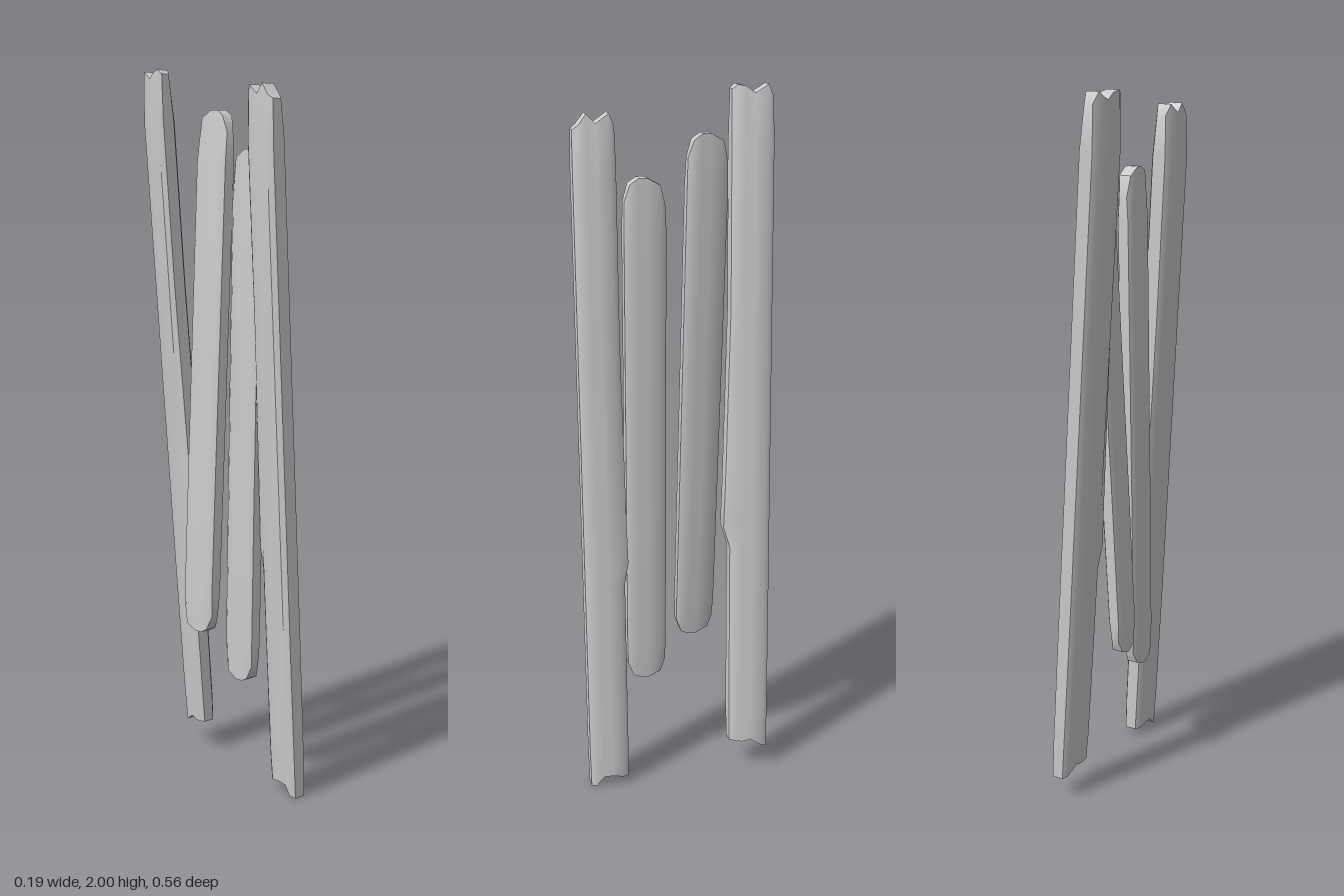
import * as THREE from 'three';
import { toCreasedNormals } from 'three/addons/utils/BufferGeometryUtils.js';

// Stations across a plank's width, and the half thickness at each
const ACROSS = [-0.5, -0.37, -0.05, 0.16, 0.37, 0.5];
const HALF = [0.3, 0.46, 0.5, 0.45, 0.48, 0.3];
const N = ACROSS.length;

const ROUND_TOP = [-0.075, -0.02, 0, 0, -0.015, -0.06];
const ROUND_BOTTOM = [0.05, 0.015, 0, 0, 0.012, 0.05];

// Leaning, worn planks. bottom / top: centre [x, y, z] of each end;
// topEdge / bottomEdge: height offsets of the end across the width.
const PLANKS = [
  {
    name: 'frontLongPlank', bottom: [0.055, 0, 0.222], top: [-0.04, 1.94, 0.215],
    width: 0.113, thick: 0.062, skew: -0.08, taper: 0.7,
    topEdge: [-0.03, 0, -0.025, 0, -0.03, -0.04], bottomEdge: [0.025, 0.025, 0.032, 0.03, 0.005, 0],
    spur: { side: -1, y: 0.7, size: 0.011 },
  },
  {
    name: 'frontShortPlank', bottom: [-0.008, 0.31, 0.092], top: [0.018, 1.78, 0.092],
    width: 0.114, thick: 0.05, skew: 0, taper: 0.75,
    topEdge: ROUND_TOP, bottomEdge: ROUND_BOTTOM,
  },
  {
    name: 'backShortPlank', bottom: [-0.038, 0.42, -0.06], top: [0.034, 1.89, -0.075],
    width: 0.114, thick: 0.05, skew: 0.09, taper: 0.7,
    topEdge: ROUND_TOP, bottomEdge: ROUND_BOTTOM,
  },
  {
    name: 'backLongPlank', bottom: [0.066, 0.07, -0.2], top: [-0.067, 2, -0.223],
    width: 0.113, thick: 0.06, skew: -0.15, taper: 0.65,
    topEdge: [-0.03, 0, -0.022, -0.005, 0, -0.012], bottomEdge: [0, 0.005, 0.028, 0.02, 0.025, 0.025],
    spur: { side: 1, y: 0.77, size: 0.018 },
  },
];

function plankGeometry(p) {
  const [x0, y0, z0] = p.bottom;
  const [x1, y1, z1] = p.top;

  // Levels from bottom to top: height, thickness scale, splinter size
  const levels = [
    { y: y0, s: p.spur ? 0.88 : p.taper, edge: p.bottomEdge },
    { y: y0 + 0.11, s: 0.95 },
    { y: y0 + 0.45, s: 1 },
    { y: y1 - 0.6, s: 1 },
    { y: y1 - 0.14, s: 1 },
    { y: y1, s: p.taper, edge: p.topEdge },
  ];
  if (p.spur) {
    levels.splice(3, 0,
      { y: p.spur.y - 0.06, s: 1 },
      { y: p.spur.y, s: 1, spur: p.spur.size },
      { y: p.spur.y + 0.12, s: 1, spur: p.spur.size * 0.75 });
  }

  const pos = [];
  const index = [];
  levels.forEach(({ y, s, edge, spur = 0 }) => {
    for (let k = 0; k < 2 * N; k++) {
      const i = k < N ? k : 2 * N - 1 - k;
      const side = k < N ? 1 : -1;
      const h = y + (edge ? edge[i] : 0);
      const t = (h - y0) / (y1 - y0);
      let dz = ACROSS[i] * p.width * (edge ? 0.97 : 1);
      if (p.spur && ACROSS[i] === 0.5 * p.spur.side) dz += p.spur.side * spur;
      const dx = side * HALF[i] * p.thick * s + dz * p.skew;
      pos.push(x0 + (x1 - x0) * t + dx, h, z0 + (z1 - z0) * t + dz);
    }
  });

  // Long faces
  const ring = 2 * N;
  for (let l = 0; l < levels.length - 1; l++) {
    for (let k = 0; k < ring; k++) {
      const a = l * ring + k;
      const b = l * ring + (k + 1) % ring;
      index.push(a, a + ring, b, b, a + ring, b + ring);
    }
  }
  // Broken end faces
  const last = (levels.length - 1) * ring;
  for (let i = 0; i < N - 1; i++) {
    const a = i, b = i + 1, c = ring - 1 - i, d = ring - 2 - i;
    index.push(last + a, last + c, last + b, last + b, last + c, last + d);
    index.push(a, b, c, b, d, c);
  }

  const geo = new THREE.BufferGeometry();
  geo.setAttribute('position', new THREE.Float32BufferAttribute(pos, 3));
  geo.setIndex(index);
  return toCreasedNormals(geo, 0.75);
}

export function createModel() {
  const group = new THREE.Group();
  group.name = 'leaningPlanks';
  const material = new THREE.MeshStandardMaterial({ color: 0xcccccc });
  for (const plank of PLANKS) {
    const mesh = new THREE.Mesh(plankGeometry(plank), material);
    mesh.name = plank.name;
    group.add(mesh);
  }
  return group;
}
